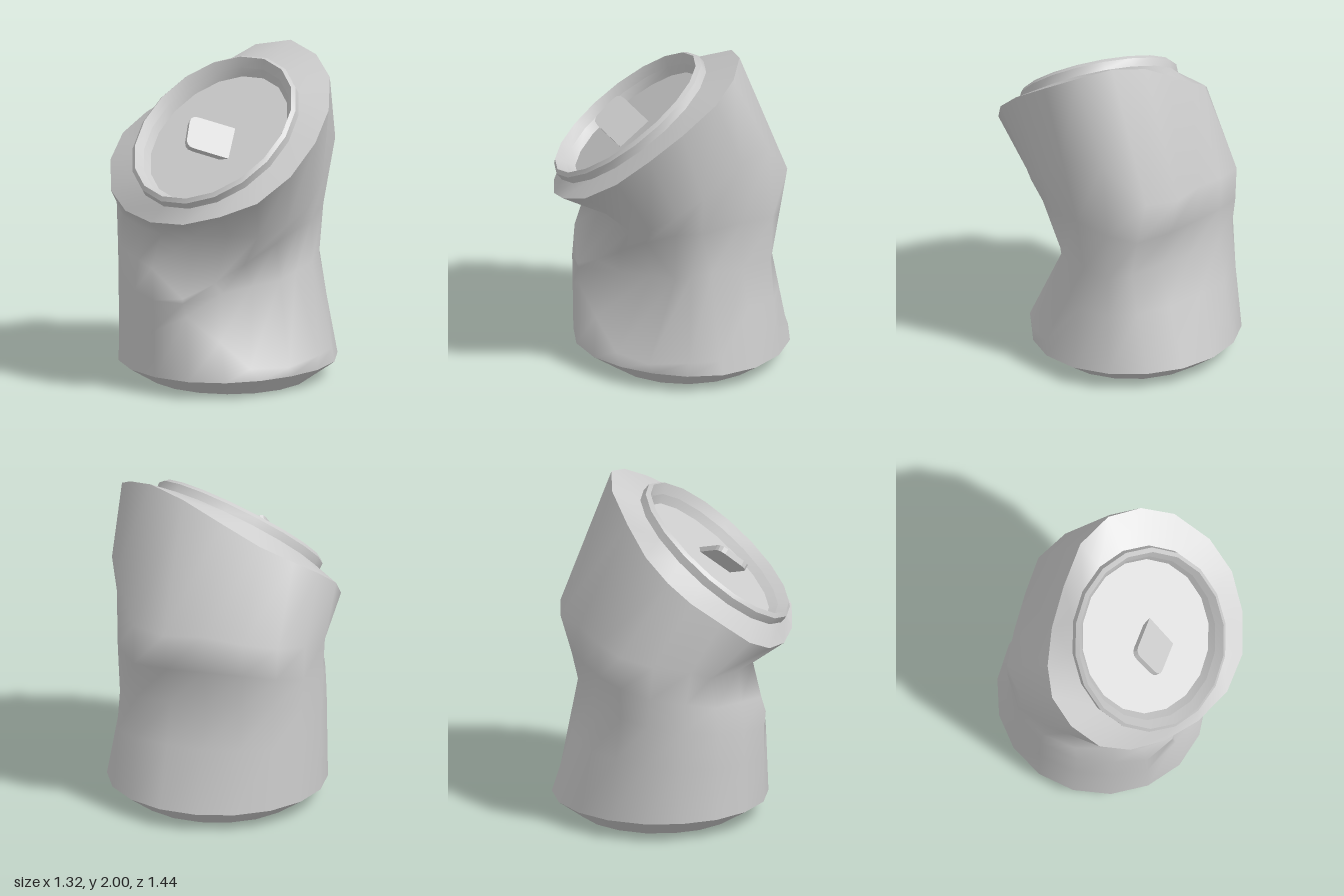
import * as THREE from 'three';

const N = 18;
const V = (x, y, z) => new THREE.Vector3(x, y, z);
const toRing = (points) => points.map((p) => V(...p));
const material = new THREE.MeshStandardMaterial({ color: 0xcccccc, side: THREE.DoubleSide });

// Closed ring of N points from a rule of the angle (+x turning towards +z)
const ring = (rule) => Array.from({ length: N }, (_, i) => {
  const a = (i / N) * Math.PI * 2;
  return rule(Math.cos(a), Math.sin(a));
});

// Skin stretched over successive rings, smooth inside one skin
function loft(name, rings) {
  const index = [];
  for (let k = 0; k < rings.length - 1; k++) {
    for (let j = 0; j < N; j++) {
      const a = k * N + j, b = k * N + (j + 1) % N;
      index.push(a, a + N, b, b, a + N, b + N);
    }
  }
  const geometry = new THREE.BufferGeometry().setFromPoints(rings.flat());
  geometry.setIndex(index);
  geometry.computeVertexNormals();
  const mesh = new THREE.Mesh(geometry, material);
  mesh.name = name;
  return mesh;
}

// Foot circle, and the wider base circle slightly pushed in on the dented side
const footRing = (r) => ring((c, s) => V(r * c, 0, -0.105 + r * 0.975 * s));
const baseRing = () => ring((c, s) => {
  const r = 0.655 - 0.06 * Math.max(0, (c + s) * 0.707) ** 4;
  return V(r * c, 0.11, -0.088 + r * 0.98 * s);
});

// Tilted lid circles: r in the lid plane, h above it
const lidNormal = V(-0.22, 0.77, 0.6);
const lidRing = (r, h) => ring((c, s) => {
  const k = r / 0.66;
  return V(0.66 * k * c, 1.53 + k * (0.19 * c - 0.44 * s), 0.21 + k * 0.57 * s)
    .addScaledVector(lidNormal, h);
});

// Crushed wall sections, one point per 20 degrees.
// Lower edge of the dent, on the dented side only
const dentEdge = [
  [0.63, 0.2, -0.07], [0.59, 0.2, 0.11], [0.45, 0.17, 0.31], [0.24, 0.18, 0.43], [0.07, 0.35, 0.49], [-0.13, 0.5, 0.52],
];
// Deepest line of the dent
const valley = toRing([
  [0.51, 0.72, -0.07], [0.43, 0.68, 0.03], [0.35, 0.64, 0.1], [0.2, 0.62, 0.19], [0.04, 0.6, 0.32], [-0.15, 0.58, 0.51],
  [-0.34, 0.58, 0.47], [-0.48, 0.6, 0.32], [-0.6, 0.63, 0.15], [-0.66, 0.68, -0.08], [-0.61, 0.71, -0.28], [-0.49, 0.73, -0.42],
  [-0.32, 0.73, -0.51], [-0.1, 0.72, -0.52], [0.12, 0.72, -0.52], [0.34, 0.72, -0.52], [0.47, 0.71, -0.46], [0.51, 0.71, -0.27],
]);
// Fold hanging over the dent
const ridge = toRing([
  [0.52, 0.99, 0], [0.48, 0.99, 0.15], [0.37, 0.92, 0.29], [0.2, 0.81, 0.4], [0.03, 0.7, 0.47], [-0.15, 0.61, 0.515],
  [-0.35, 0.77, 0.45], [-0.46, 0.78, 0.31], [-0.6, 0.8, 0.13], [-0.66, 0.85, -0.06], [-0.62, 0.88, -0.27], [-0.51, 0.92, -0.43],
  [-0.33, 0.95, -0.52], [-0.1, 0.96, -0.57], [0.12, 0.96, -0.6], [0.34, 0.95, -0.57], [0.48, 1, -0.47], [0.54, 1.03, -0.25],
]);
// Narrow waist under the rim, rising to a bulge at the back
const waist = toRing([
  [0.59, 1.25, 0.02], [0.55, 1.14, 0.17], [0.43, 1.03, 0.29], [0.27, 0.97, 0.36], [0.09, 0.97, 0.35], [-0.1, 0.97, 0.39],
  [-0.3, 0.97, 0.41], [-0.43, 0.97, 0.3], [-0.59, 0.98, 0.1], [-0.66, 1.05, -0.03], [-0.62, 1.08, -0.25], [-0.52, 1.12, -0.43],
  [-0.33, 1.15, -0.52], [-0.11, 1.2, -0.6], [0.11, 1.2, -0.67], [0.32, 1.22, -0.63], [0.5, 1.46, -0.44], [0.62, 1.45, -0.21],
]);
// Tilted rim, sagging at the back right
const rim = toRing([
  [0.66, 1.72, 0.18], [0.62, 1.57, 0.375], [0.505, 1.4, 0.54], [0.33, 1.26, 0.67], [0.115, 1.18, 0.72], [-0.115, 1.11, 0.68],
  [-0.33, 1.09, 0.59], [-0.505, 1.12, 0.47], [-0.62, 1.2, 0.33], [-0.66, 1.34, 0.15], [-0.62, 1.46, -0.02], [-0.505, 1.56, -0.14],
  [-0.33, 1.67, -0.24], [-0.12, 1.81, -0.31], [0.11, 1.95, -0.36], [0.33, 2, -0.32], [0.505, 1.95, -0.21], [0.62, 1.86, -0.05],
]);

// Pull tab: rounded plate bent up off the lid, its root buried in the panel
function pullTab() {
  const corner = V(0.09, 1.575, 0.165);
  const along = V(-0.22, 0.08, 0.075), across = V(0, -0.14, 0.175);
  const w = along.length() + 0.03, d = across.length(), r = 0.05, root = -0.02;
  const shape = new THREE.Shape();
  shape.moveTo(root, 0);
  shape.lineTo(w - r, 0);
  shape.quadraticCurveTo(w, 0, w, r);
  shape.lineTo(w, d - r);
  shape.quadraticCurveTo(w, d, w - r, d);
  shape.lineTo(root, d);
  const geometry = new THREE.ExtrudeGeometry(shape, { depth: 0.035, bevelEnabled: false, curveSegments: 3 });
  geometry.translate(0, 0, -0.035);
  const x = along.normalize();
  const z = x.clone().cross(across).normalize();
  const basis = new THREE.Matrix4().makeBasis(x, z.clone().cross(x), z).setPosition(corner);
  geometry.applyMatrix4(basis);
  const mesh = new THREE.Mesh(geometry, material);
  mesh.name = 'pullTab';
  return mesh;
}

export function createModel() {
  const group = new THREE.Group();
  group.name = 'crushedCan';
  const foot = footRing(0.485), base = baseRing();
  const lowerWall = base.map((p, i) => (dentEdge[i] ? V(...dentEdge[i]) : p.clone().lerp(valley[i], 0.6)));

  // Base and crumpled wall
  group.add(
    loft('bottom', [footRing(0), foot]),
    loft('bottomBevel', [foot, base]),
    loft('crumpledWall', [base, lowerWall, valley, ridge, waist, rim]),
  );

  // Lid: shoulder, raised lip and sunken panel, each with crisp edges
  const profile = [[0.49, 0.02], [0.49, 0.07], [0.47, 0.09], [0.435, 0.035], [0.41, -0.015], [0, -0.015]];
  const names = ['lidShoulder', 'lipOuterWall', 'lipBevel', 'lipInnerSlope', 'lipInnerWall', 'lidPanel'];
  let previous = rim;
  profile.forEach(([r, h], i) => {
    const next = lidRing(r, h);
    group.add(loft(names[i], [previous, next]));
    previous = next;
  });

  group.add(pullTab());
  return group;
}
